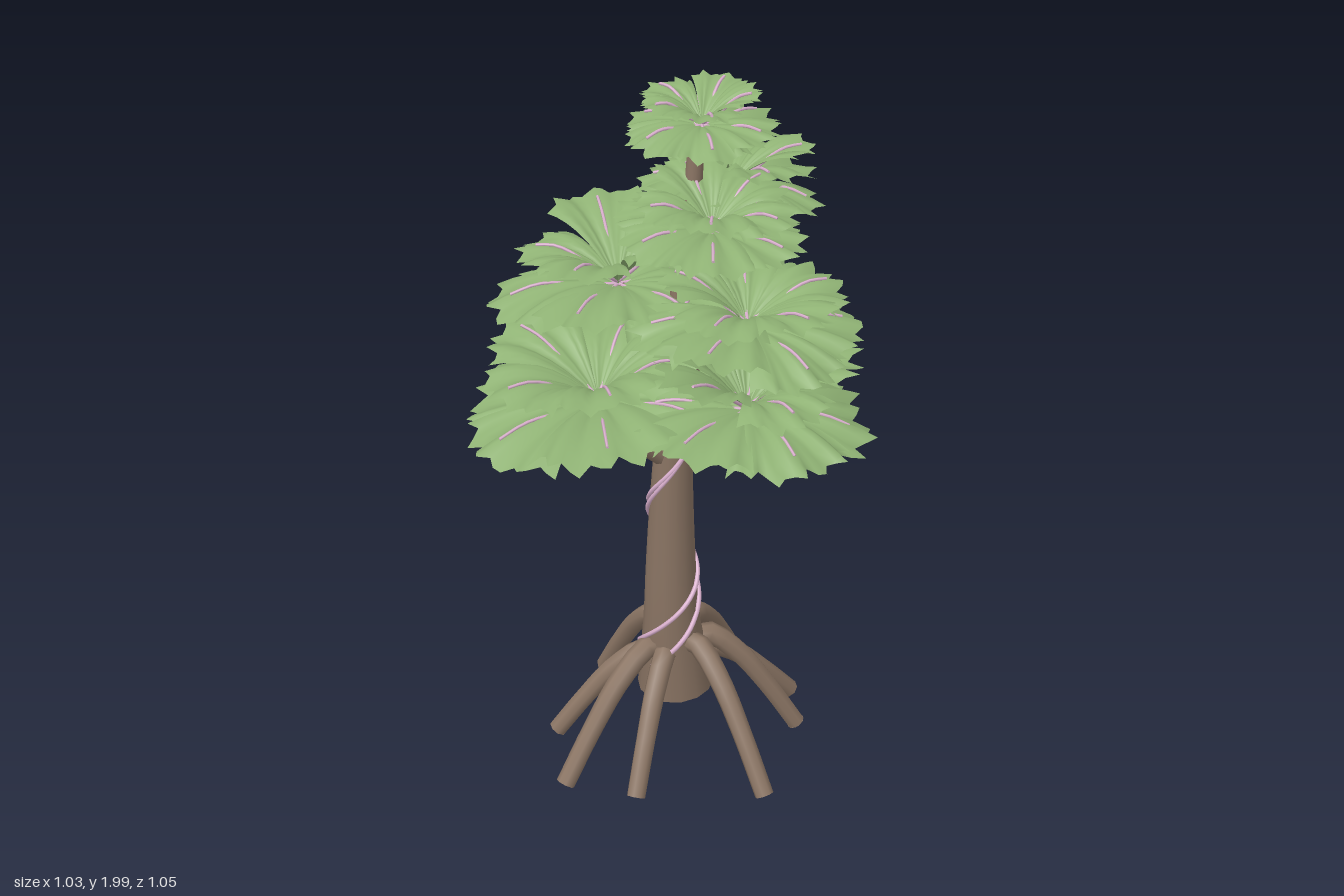
import * as THREE from 'three';
import { mergeGeometries } from 'three/addons/utils/BufferGeometryUtils.js';

const V = (x, y, z) => new THREE.Vector3(x, y, z);

// small seeded random generator
let seed = 7;
const rand = (a, b) => {
  seed = (seed * 16807) % 2147483647;
  return a + (b - a) * (seed / 2147483647);
};

// round tube along points, with radii interpolated along its length, open at the start and capped at the end
function taperTube(points, radii, segments, sides) {
  const curve = new THREE.CatmullRomCurve3(points);
  const tube = new THREE.TubeGeometry(curve, segments, 1, sides);
  const pos = tube.attributes.position, nor = tube.attributes.normal;
  for (let i = 0; i <= segments; i++) {
    const t = i / segments, c = curve.getPointAt(t);
    const k = Math.min(t * (radii.length - 1), radii.length - 1.0001), n = Math.floor(k);
    const r = THREE.MathUtils.lerp(radii[n], radii[n + 1], k - n);
    for (let j = 0; j <= sides; j++) {
      const v = i * (sides + 1) + j;
      pos.setXYZ(v, c.x + nor.getX(v) * r, c.y + nor.getY(v) * r, c.z + nor.getZ(v) * r);
    }
  }
  const cap = new THREE.CircleGeometry(radii[radii.length - 1], sides);
  cap.applyQuaternion(new THREE.Quaternion().setFromUnitVectors(V(0, 0, 1), curve.getTangentAt(1)));
  const p = curve.getPointAt(1);
  return mergeGeometries([tube, cap.translate(p.x, p.y, p.z)]);
}

// one softly pleated fan leaf pointing along +x, with a ragged rim
function fanLeaf(length, halfAngle, heightAt) {
  const cols = 18, rows = 7, pos = [], idx = [];
  for (let c = 0; c <= cols; c++) {
    const u = (c / cols) * 2 - 1, a = u * halfAngle;
    const tooth = [0.04, -0.02, -0.07][c % 3] + rand(-0.035, 0.035);
    const rim = length * (1 - 0.14 * u * u + tooth);
    const wave = Math.cos(u * Math.PI * 3) * 0.032 + rand(-0.012, 0.012) * Math.abs(u);
    for (let r = 0; r <= rows; r++) {
      const s = r / rows;
      pos.push(rim * s * Math.cos(a), heightAt(s) + wave * length * s, rim * s * Math.sin(a));
      if (c < cols && r < rows) {
        const k = c * (rows + 1) + r, n = k + rows + 1;
        idx.push(k, n, k + 1, n, n + 1, k + 1);
      }
    }
  }
  const g = new THREE.BufferGeometry();
  g.setAttribute('position', new THREE.Float32BufferAttribute(pos, 3));
  g.setIndex(idx);
  g.computeVertexNormals();
  return g;
}

export function createModel() {
  seed = 7;
  const model = new THREE.Group();
  const bark = new THREE.MeshStandardMaterial({ color: 0x8c7665, side: THREE.DoubleSide });
  const leafGreen = new THREE.MeshStandardMaterial({ color: 0x8fb274, side: THREE.DoubleSide });
  const pink = new THREE.MeshStandardMaterial({ color: 0xdcb2d0 });
  bark.name = 'bark';
  leafGreen.name = 'leafGreen';
  pink.name = 'pinkVine';
  const add = (parent, name, geometry, material) => {
    const mesh = new THREE.Mesh(geometry, material);
    mesh.name = name;
    parent.add(mesh);
  };

  // leaning, tapering trunk
  const spine = [V(0.095, 0.195, -0.1), V(0.075, 0.45, -0.092), V(0.066, 0.75, -0.08), V(0.062, 1.05, -0.06),
    V(0.066, 1.4, -0.035), V(0.078, 1.65, -0.012), V(0.085, 1.88, 0)];
  const girth = [0.105, 0.075, 0.064, 0.053, 0.042, 0.033, 0.024, 0.02];
  add(model, 'trunk', taperTube(spine, girth, 24, 14), bark);

  // stilt roots: foot x, foot z, height where it leaves the trunk
  const feet = [[0.12, -0.49, 0.36], [0.47, -0.33, 0.35], [0.485, -0.08, 0.28], [0.4, 0.06, 0.35],
    [0.12, 0.285, 0.37], [-0.17, 0.09, 0.34], [-0.295, -0.07, 0.35], [-0.17, -0.3, 0.3]];
  for (const [x, z, top] of feet) {
    const at = (t, y) => V(0.09 + (x - 0.09) * t, y, -0.095 + (z + 0.095) * t);
    const path = [at(0.06, top - 0.03), at(0.24, top), at(0.5, top * 0.8), at(0.75, top * 0.46), at(1, 0.02)];
    add(model, 'stiltRoot', taperTube(path, [0.032, 0.03, 0.027, 0.026], 12, 8), bark);
  }

  // two vines winding up the trunk: height of a front crossing, height of one turn, end along the trunk
  const trunkCurve = new THREE.CatmullRomCurve3(spine);
  for (const [crossing, pitch, end] of [[0.5, 0.47, 0.84], [0.41, 0.56, 0.6]]) {
    const vinePath = [];
    for (let i = 0; i <= 50; i++) {
      const t = 0.06 + (i / 50) * end, p = trunkCurve.getPointAt(t);
      const k = t * 7, j = Math.min(Math.floor(k), 6);
      const r = THREE.MathUtils.lerp(girth[j], girth[j + 1], k - j) + 0.004;
      const a = ((p.y - crossing) / pitch) * Math.PI * 2;
      vinePath.push(V(p.x + Math.sin(a) * r, p.y, p.z + Math.cos(a) * r));
    }
    add(model, 'vine', taperTube(vinePath, [0.007, 0.005], 120, 6), pink);
  }

  // leaf rosette: a wide arching outer whorl and a shorter, raised inner whorl, nodding outward
  const whorls = [
    { count: 6, length: 1, half: 0.66, rise: [0.26, 0.42], droop: [0.28, 0.46] },
    { count: 5, length: 0.82, half: 0.68, rise: [0.95, 1.2], droop: [0.52, 0.7] },
  ];
  function rosette(x, y, z, size, nod, toward) {
    const crown = new THREE.Group();
    crown.name = 'leafCrown';
    crown.position.set(x, y, z);
    crown.quaternion.setFromAxisAngle(V(toward.z, 0, -toward.x).normalize(), nod);
    const turn = rand(0, 1);
    whorls.forEach((w, layer) => {
      for (let i = 0; i < w.count; i++) {
        const L = size * w.length * rand(0.92, 1.05);
        const rise = rand(...w.rise) * L, droop = rand(...w.droop) * L;
        const heightAt = s => rise * s - droop * s * s + layer * 0.006;
        const leaf = new THREE.Group();
        leaf.name = 'leaf';
        leaf.rotation.y = turn + layer * 0.5 + (i / w.count) * Math.PI * 2 + rand(-0.08, 0.08);
        add(leaf, 'leafBlade', fanLeaf(L, w.half, heightAt), leafGreen);
        // midrib that dips under the arch and surfaces on the outer half
        const rib = [[0.02, 0.003], [0.25, -0.012], [0.5, 0], [0.65, 0.004], [0.83, 0.002]]
          .map(([s, lift]) => V(L * s, heightAt(s) + 0.032 * L * s + lift, 0));
        add(leaf, 'midrib', taperTube(rib, [0.005, 0.004], 10, 5), pink);
        crown.add(leaf);
      }
    });
    model.add(crown);
  }

  // branches: crown centre, crown size, height and thickness at the trunk, nod
  const crowns = [
    [-0.16, 1.165, -0.08, 0.35, 0.92, 0.028, 0.16],
    [0.1, 1.18, 0.2, 0.335, 0.96, 0.026, 0.07],
    [0.18, 1.18, -0.1, 0.325, 1.06, 0.026, 0.08],
    [-0.01, 1.4, -0.21, 0.325, 1.2, 0.024, 0.1],
    [0.12, 1.4, 0.17, 0.3, 1.2, 0.024, 0.1],
    [0.06, 1.65, 0.1, 0.245, 1.48, 0.019, 0.1],
    [0.25, 1.66, -0.08, 0.24, 1.46, 0.02, 0.16],
  ];
  for (const [x, y, z, size, from, r, nod] of crowns) {
    const p = trunkCurve.getPointAt((from - 0.2) / 1.68);
    const mid = V((p.x + x) / 2 + (x - p.x) * 0.06, (from + y) / 2 - 0.01, (p.z + z) / 2 + (z - p.z) * 0.06);
    add(model, 'branch', taperTube([p, mid, V(x, y, z)], [r, r * 0.7], 8, 8), bark);
    rosette(x, y, z, size, nod, V(x - p.x, 0, z - p.z));
  }
  rosette(0.088, 1.893, 0.015, 0.19, 0.03, V(0, 0, 1));
  return model;
}
